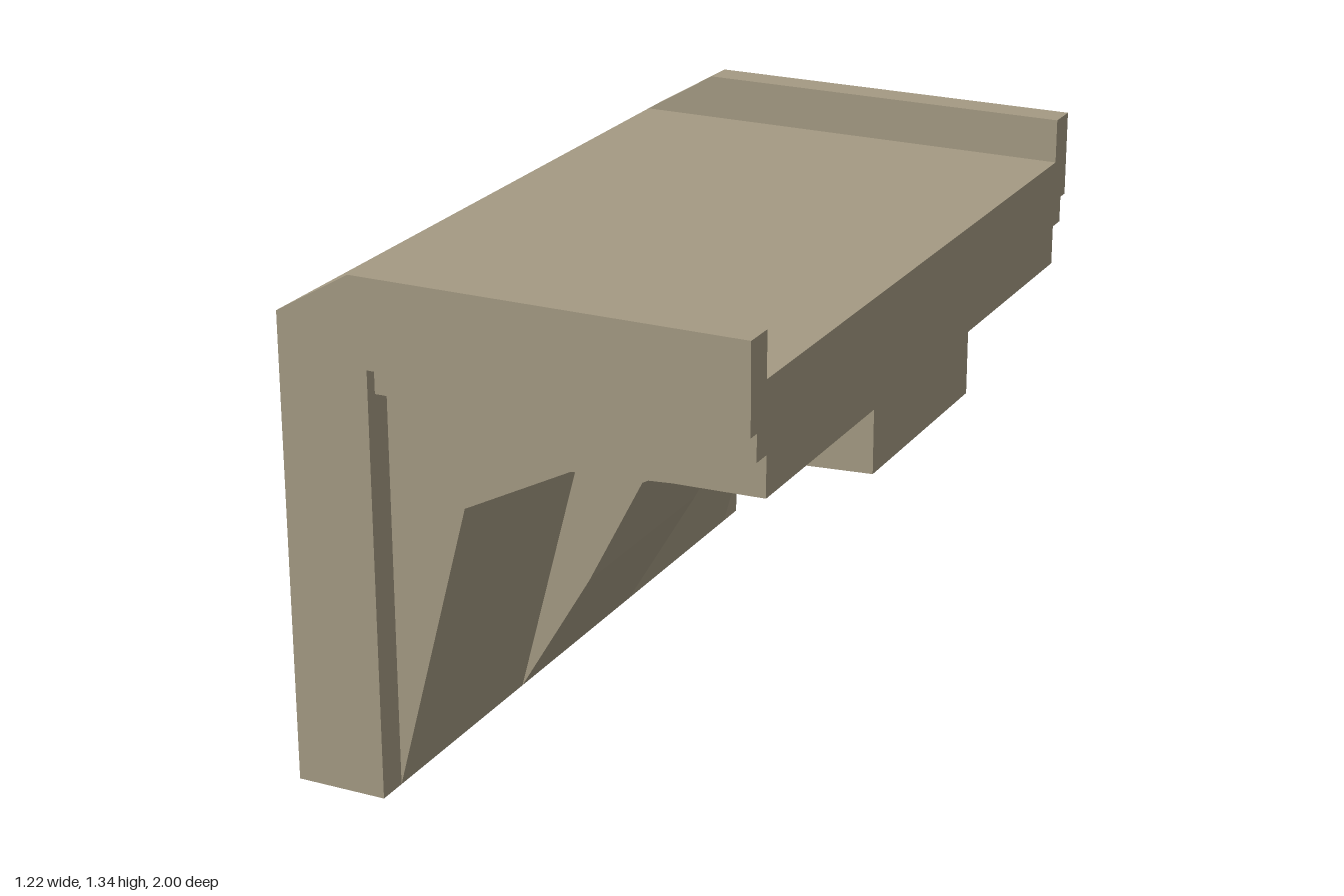
import * as THREE from 'three';

const X = 0.608;      // half width
const DECK = 1.219;   // deck surface height
const TOP = 1.335;    // parapet top height
const PIER = -0.368;  // inner face of the pier

export function createModel() {
  const model = new THREE.Group();
  const stone = new THREE.MeshStandardMaterial({ color: 0xa49a83 });
  stone.name = 'stone';

  // Slice of the bridge: an x/y outline extruded between two z positions
  function slice(name, points, z0, z1) {
    const shape = new THREE.Shape(points.map(([x, y]) => new THREE.Vector2(x, y)));
    const geometry = new THREE.ExtrudeGeometry(shape, { depth: z1 - z0, bevelEnabled: false });
    geometry.translate(0, 0, z0);
    const mesh = new THREE.Mesh(geometry, stone);
    mesh.name = name;
    model.add(mesh);
  }

  const pierFoot = [[-X, 0], [PIER, 0]];
  const deckTop = [[X, DECK], [-X, DECK]];
  const parapetTop = [[X, TOP], [-0.41, TOP], [-X, DECK]];

  // Undersides of the half arch, from the pier to the crown
  const vault = [[-0.166, 0.769], [0.117, 0.913], [0.376, 0.931], [X, 0.936]];
  const rib = [[-0.166, 0.339], [-0.012, 0.636], [0.196, 0.745], [0.43, 0.761], [X, 0.77]];
  // Straight soffit of the edge courses
  const ledge = (y) => [[PIER, y], [X, y]];

  slice('centreRib', [...pierFoot, ...rib, ...deckTop], -0.305, 0.305);

  // Matching vaults and stepped parapets on both sides
  for (const side of [1, -1]) {
    const label = side > 0 ? 'front' : 'back';
    const place = (name, points, a, b) =>
      slice(label + name, points, Math.min(a * side, b * side), Math.max(a * side, b * side));
    place('Vault', [...pierFoot, ...vault, ...deckTop], 0.305, 0.917);
    place('InnerParapet', [...pierFoot, ...ledge(1.04), ...parapetTop], 0.917, 0.968);
    place('OuterParapet', [...pierFoot, ...ledge(1.109), ...parapetTop], 0.968, 1);
  }
  return model;
}
